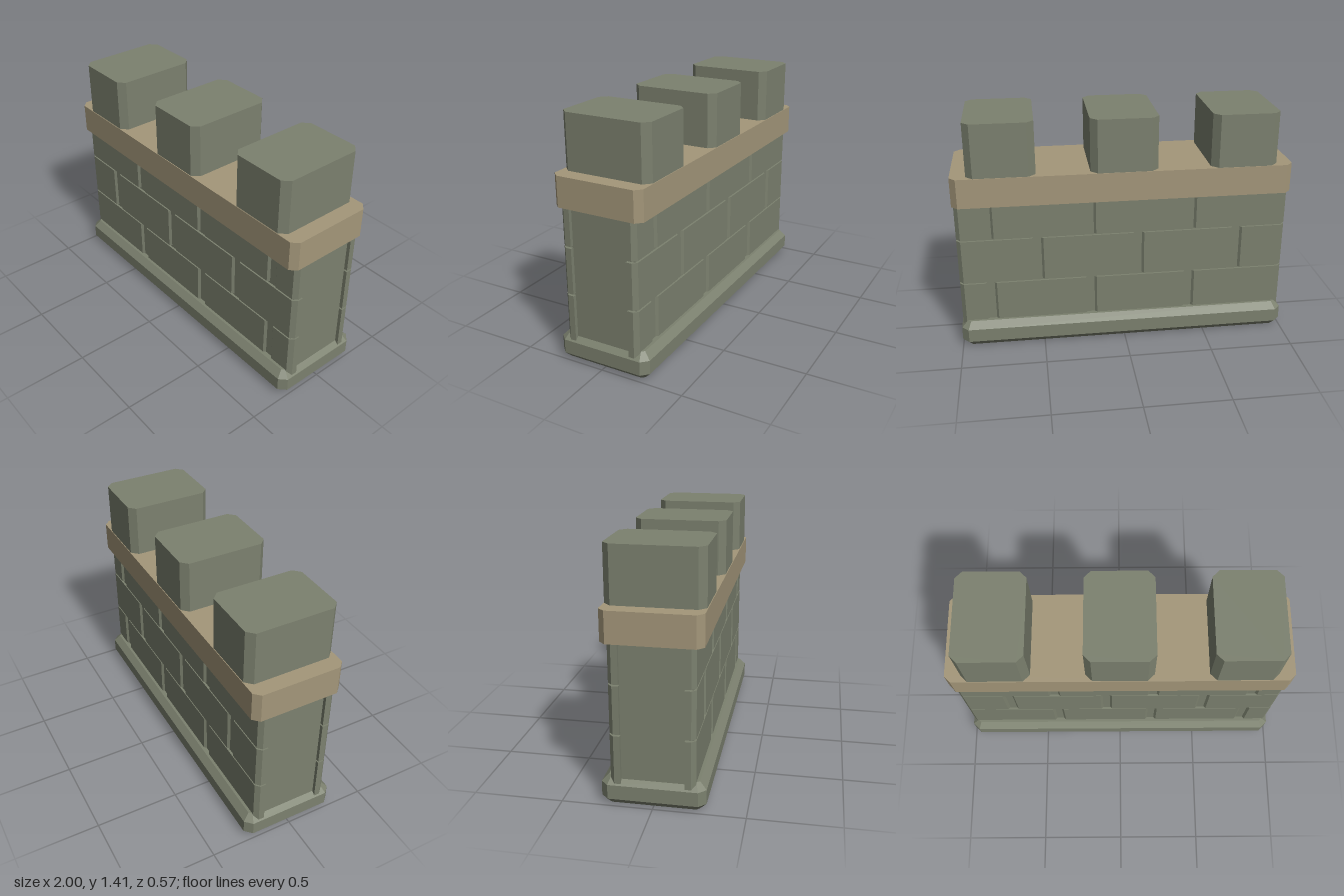
import * as THREE from 'three';

// Closed solid through stacked outlines; each ring is { y, pts: [[x, z], ...] }, counter-clockwise from above
function loft(rings) {
  const pos = [];
  const n = rings[0].pts.length;
  const at = (r, i) => [r.pts[i % n][0], r.y, r.pts[i % n][1]];
  const tri = (a, b, c) => pos.push(...a, ...b, ...c);
  for (let k = 0; k < rings.length - 1; k++) {
    const lo = rings[k], hi = rings[k + 1];
    for (let i = 0; i < n; i++) {
      tri(at(lo, i), at(lo, i + 1), at(hi, i + 1));
      tri(at(lo, i), at(hi, i + 1), at(hi, i));
    }
  }
  const bottom = rings[0], top = rings[rings.length - 1];
  for (let i = 1; i < n - 1; i++) {
    tri(at(top, 0), at(top, i), at(top, i + 1));
    tri(at(bottom, 0), at(bottom, i + 1), at(bottom, i));
  }
  const g = new THREE.BufferGeometry();
  g.setAttribute('position', new THREE.Float32BufferAttribute(pos, 3));
  g.computeVertexNormals();
  return g;
}

// Rectangle with cut corners
function octagon(w, d, c) {
  return [
    [w - c, d], [w, d - c], [w, c - d], [w - c, -d],
    [c - w, -d], [-w, c - d], [-w, d - c], [c - w, d],
  ];
}

export function createModel() {
  const model = new THREE.Group();
  const stone = new THREE.MeshStandardMaterial({ color: 0x7c816f });
  stone.name = 'stone';
  const sandstone = new THREE.MeshStandardMaterial({ color: 0xa4977a });
  sandstone.name = 'sandstone';

  const add = (parent, name, geometry, material) => {
    const mesh = new THREE.Mesh(geometry, material);
    mesh.name = name;
    parent.add(mesh);
    return mesh;
  };

  // Plinth, bevelled at top and bottom
  const wide = octagon(1, 0.285, 0.04);
  const narrow = octagon(0.96, 0.247, 0.017);
  add(model, 'plinth', loft([
    { y: 0, pts: narrow }, { y: 0.04, pts: wide },
    { y: 0.122, pts: wide }, { y: 0.162, pts: narrow },
  ]), stone);

  // Recessed wall core behind the bricks
  const core = add(model, 'wallCore', new THREE.BoxGeometry(1.942, 0.82, 0.436), stone);
  core.position.y = 0.51;

  // Staggered brick courses on front and back
  const bricks = new THREE.Group();
  bricks.name = 'bricks';
  model.add(bricks);
  const end = 0.992, face = 0.231, inner = 0.172, cut = 0.024, joint = 0.011;
  const odd = [-0.402, 0.204, 0.808];
  const even = [-0.69, -0.086, 0.519];
  const courses = [
    { y0: 0.1, y1: 0.406, joints: odd },
    { y0: 0.416, y1: 0.687, joints: even },
    { y0: 0.697, y1: 0.93, joints: odd },
  ];
  for (const { y0, y1, joints } of courses) {
    const stops = [-end - joint, ...joints, end + joint];
    for (let i = 0; i < stops.length - 1; i++) {
      const a = stops[i] + joint, b = stops[i + 1] - joint;
      const front = [
        [b, inner], [a, inner], [a, face - cut],
        [a + cut, face], [b - cut, face], [b, face - cut],
      ];
      const back = front.map(([x, z]) => [x, -z]).reverse();
      add(bricks, 'frontBrick', loft([{ y: y0, pts: front }, { y: y1, pts: front }]), stone);
      add(bricks, 'backBrick', loft([{ y: y0, pts: back }, { y: y1, pts: back }]), stone);
    }
  }

  // Coping band
  const band = octagon(1, 0.271, 0.037);
  add(model, 'copingBand', loft([{ y: 0.914, pts: band }, { y: 1.09, pts: band }]), sandstone);

  // Battlement blocks
  const block = octagon(0.198, 0.267, 0.04);
  for (const x of [-0.709, 0, 0.709]) {
    const merlon = add(model, 'merlon', loft([{ y: 1.08, pts: block }, { y: 1.407, pts: block }]), stone);
    merlon.position.x = x;
  }

  return model;
}
